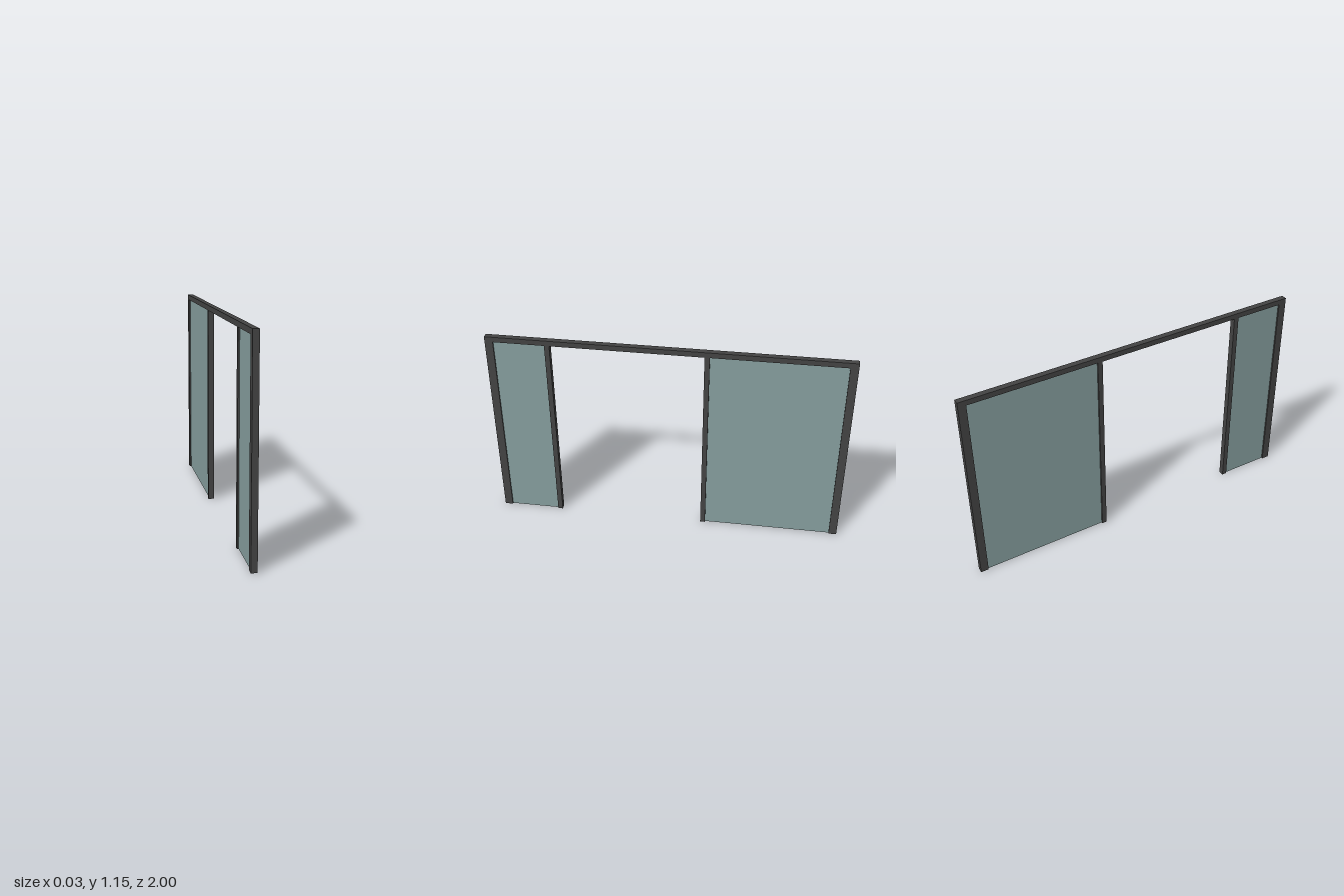
import * as THREE from 'three';

export function createModel() {
  const group = new THREE.Group();
  const frame = new THREE.MeshStandardMaterial({ color: 0x444444 });
  const glass = new THREE.MeshStandardMaterial({ color: 0x88a0a0 });
  const depth = 0.033, height = 1.155, railBottom = 1.125;

  // Box spanning the given y and z ranges, centred on x = 0
  const addBox = (name, material, thickness, y0, y1, z0, z1) => {
    const mesh = new THREE.Mesh(new THREE.BoxGeometry(thickness, y1 - y0, z1 - z0), material);
    mesh.name = name;
    mesh.position.set(0, (y0 + y1) / 2, (z0 + z1) / 2);
    group.add(mesh);
  };

  // Top rail across the full length
  addBox('topRail', frame, depth, railBottom, height, -1, 1);

  // Wide end posts and narrow posts beside the doorway
  const posts = {
    frontEndPost: [0.955, 1],
    frontDoorPost: [0.642, 0.67],
    backDoorPost: [-0.226, -0.198],
    backEndPost: [-1, -0.955],
  };
  for (const [name, [z0, z1]] of Object.entries(posts)) {
    addBox(name, frame, depth, 0, railBottom, z0, z1);
  }

  // Recessed glass panes between the posts
  addBox('frontGlassPane', glass, 0.016, 0, railBottom, 0.67, 0.955);
  addBox('backGlassPane', glass, 0.016, 0, railBottom, -0.955, -0.226);

  return group;
}
